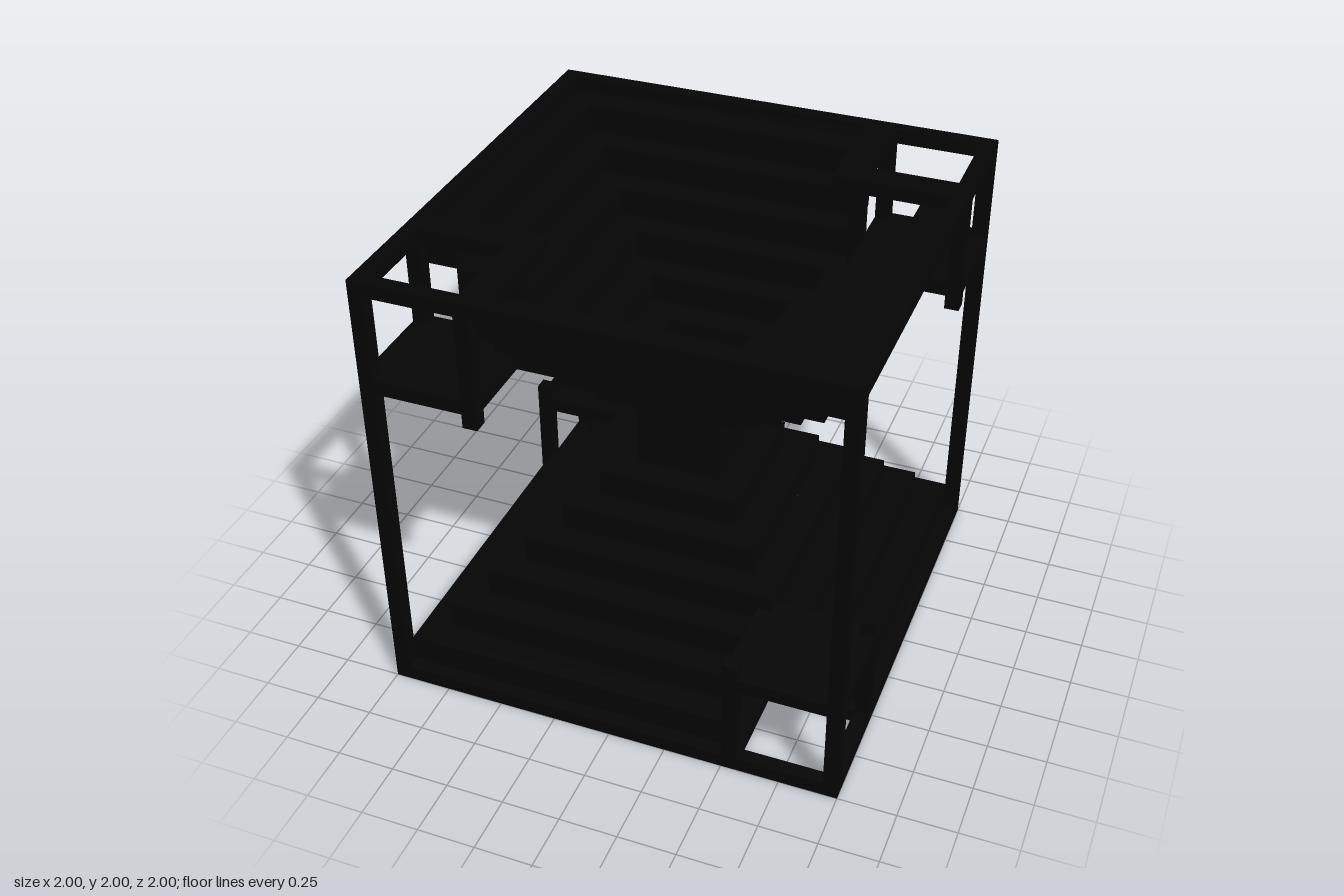
import * as THREE from 'three';

const U = 1 / 16; // one grid cell
const material = new THREE.MeshStandardMaterial({ color: 0x050505 });

// Box between two corners, given in grid cells
function block(parent, name, [x0, y0, z0], [x1, y1, z1]) {
  const geo = new THREE.BoxGeometry((x1 - x0) * U, (y1 - y0) * U, (z1 - z0) * U);
  const mesh = new THREE.Mesh(geo, material);
  mesh.name = name;
  mesh.position.set((x0 + x1) * U / 2, (y0 + y1) * U / 2, (z0 + z1) * U / 2);
  parent.add(mesh);
}

// Half of one hollow step ring; the far half is its half-turn copy
function ringHalf(parent, w, y0, y1) {
  const inner = w - 2;
  const cut = w > 8; // wide rings stop at the corner platform
  block(parent, 'stepFront', [-w, y0, inner], [cut ? 8 : w, y1, w]);
  block(parent, 'stepSide', [inner, y0, -inner], [w, y1, cut ? 8 : inner]);
}

// Corner platform on posts, with a wide bar frame at the base
function cornerPlatform(parent) {
  const g = new THREE.Group();
  g.name = 'cornerPlatform';
  block(g, 'platformFloor', [8, 7, 8], [16, 8, 16]);
  for (const [x, z] of [[8, 8], [8, 15], [15, 8]]) {
    block(g, 'platformPost', [x, 0, z], [x + 1, 9, z + 1]);
  }
  block(g, 'baseBarX', [7, 0, 7], [15, 1, 9]);
  block(g, 'baseBarZ', [7, 0, 9], [9, 1, 15]);
  parent.add(g);
}

// Lower half: stepped hollow pyramid plus two opposite corner platforms
function createHalf() {
  const half = new THREE.Group();
  half.name = 'steppedHalf';
  for (const turn of [0, Math.PI]) {
    const side = new THREE.Group();
    side.name = 'halfTurnSide';
    side.rotation.y = turn;
    for (let i = 0; i < 6; i++) ringHalf(side, 15 - 2 * i, 2 * i + 1, 2 * i + 3);
    ringHalf(side, 3, 13, 16); // hollow neck up to mid height
    cornerPlatform(side);
    half.add(side);
  }
  return half;
}

export function createModel() {
  const model = new THREE.Group();
  model.name = 'steppedCube';

  // Outer cube frame
  const frame = new THREE.Group();
  frame.name = 'cubeFrame';
  for (const a of [-16, 15]) {
    for (const b of [-16, 15]) {
      block(frame, 'frameUpright', [a, 0, b], [a + 1, 32, b + 1]);
      block(frame, 'frameBarX', [-15, a + 16, b], [15, a + 17, b + 1]);
      block(frame, 'frameBarZ', [b, a + 16, -15], [b + 1, a + 17, 15]);
    }
  }
  model.add(frame);

  // Upper half is the lower one flipped about the x axis
  const lower = createHalf();
  const upper = createHalf();
  upper.rotation.x = Math.PI;
  upper.position.y = 2;
  model.add(lower, upper);
  return model;
}
